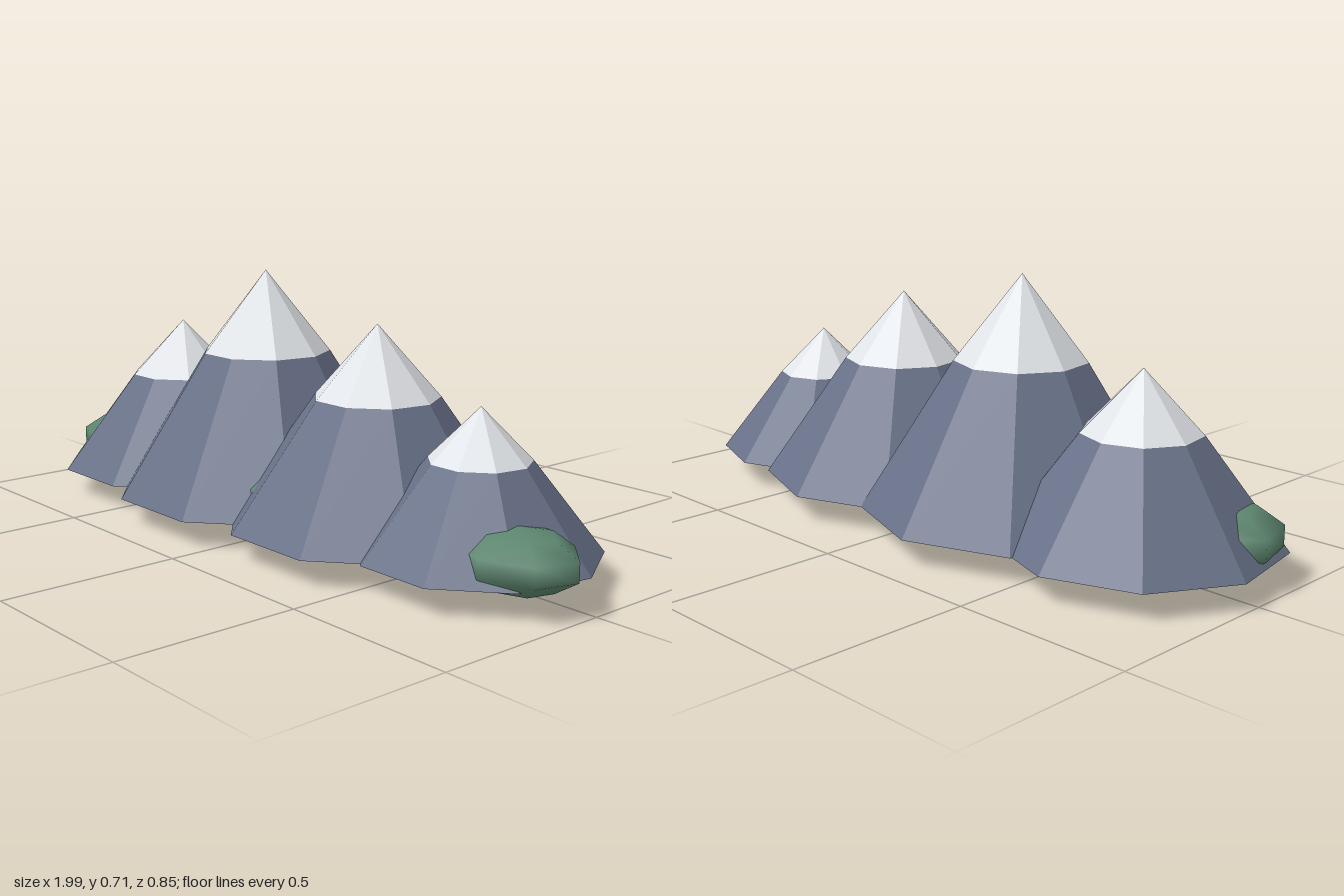
import * as THREE from 'three';

const SIDES = 9;
const BASE_Y = 0.072;

// faceted copy of a geometry
function faceted(geometry) {
  const g = geometry.toNonIndexed();
  g.computeVertexNormals();
  return g;
}

export function createModel() {
  const rock = new THREE.MeshStandardMaterial({ color: 0x687188 });
  rock.name = 'slate rock';
  const snow = new THREE.MeshStandardMaterial({ color: 0xe2e5e9 });
  snow.name = 'snow white';
  const leaf = new THREE.MeshStandardMaterial({ color: 0x5d866f });
  leaf.name = 'bush green';

  const model = new THREE.Group();
  model.name = 'mountainRange';

  // Mountains: steep rock frustum with a slightly blunter snow cone on top
  function addMountain(x, radius, peakY) {
    const height = peakY - BASE_Y;
    const capHeight = height * 0.365;
    const rockHeight = height - capHeight;
    const capRadius = radius * 0.42;

    const mountain = new THREE.Group();
    mountain.name = 'mountain';
    mountain.position.set(x, BASE_Y, 0.013);
    mountain.rotation.y = Math.PI;

    const slope = new THREE.Mesh(
      faceted(new THREE.CylinderGeometry(capRadius, radius, rockHeight, SIDES)), rock);
    slope.name = 'rockSlope';
    slope.position.y = rockHeight / 2;

    const cap = new THREE.Mesh(
      faceted(new THREE.ConeGeometry(capRadius, capHeight, SIDES, 1, true)), snow);
    cap.name = 'snowCap';
    cap.position.y = rockHeight + capHeight / 2;

    mountain.add(slope, cap);
    model.add(mountain);
  }

  [
    [-0.625, 0.378, 0.52],
    [-0.21, 0.439, 0.71],
    [0.26, 0.409, 0.607],
    [0.635, 0.318, 0.445],
  ].forEach((m) => addMountain(...m));

  // Bushes: low, flattened smooth blobs along the foot of the range
  const bushGeometry = new THREE.SphereGeometry(1, 7, 5);
  bushGeometry.rotateY(-0.24);
  [
    [-0.79, 0.205, 0.09],
    [-0.38, 0.225, 0.105],
    [0.06, 0.25, 0.12],
    [0.47, 0.212, 0.1],
    [0.83, 0.178, 0.08],
  ].forEach(([x, rx, ry]) => {
    const bush = new THREE.Mesh(bushGeometry, leaf);
    bush.name = 'bush';
    bush.position.set(x, 0.12, 0.09);
    bush.scale.set(rx, ry, rx * 0.79);
    model.add(bush);
  });

  return model;
}
